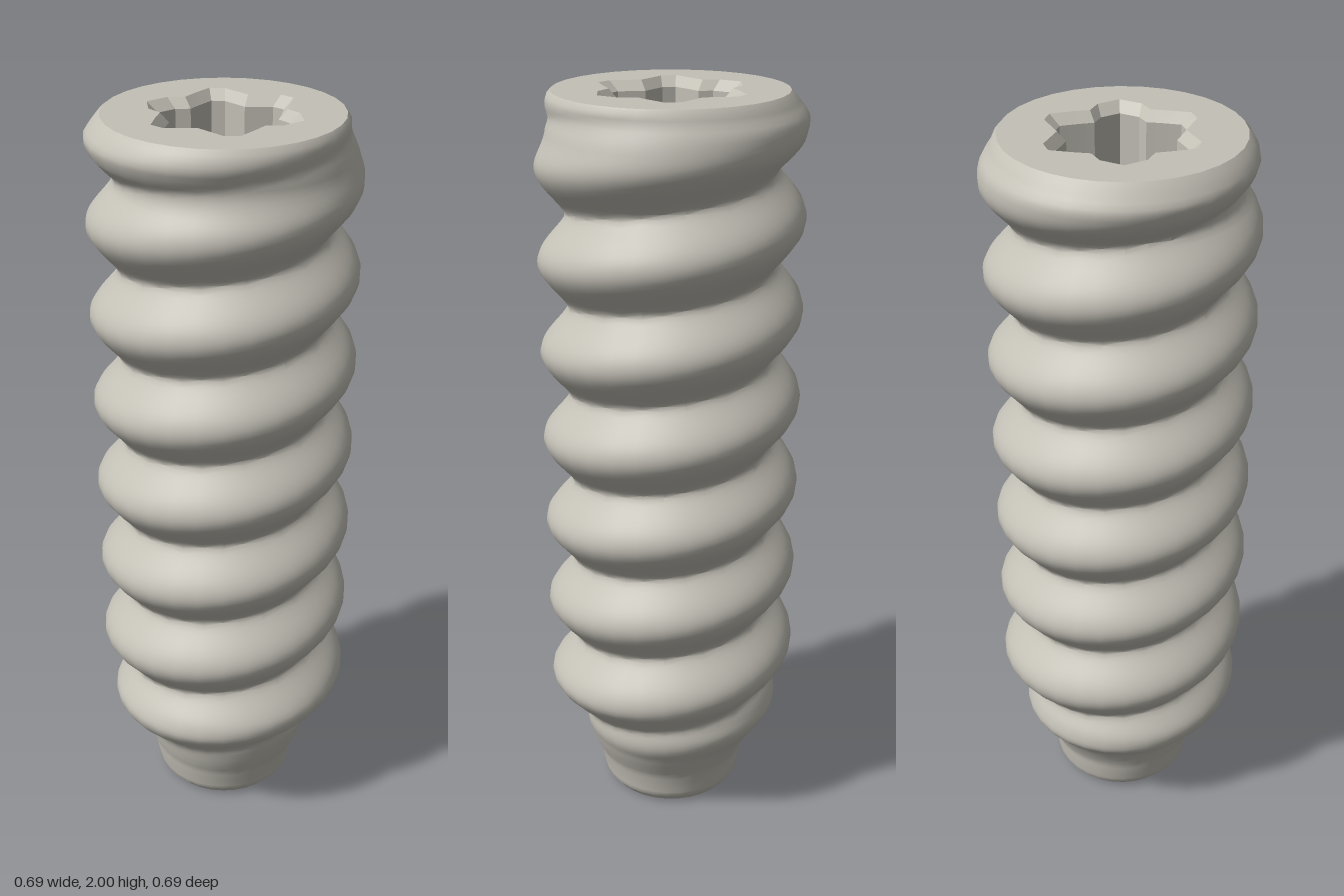
import * as THREE from 'three';
import { toCreasedNormals } from 'three/addons/utils/BufferGeometryUtils.js';

const SIDES = 32, PITCH = 0.2433, CREST_Y = 1.83;
const FLOOR_Y = 1.7;

// Linear interpolation through [y, radius] pairs
function sample(pairs, y) {
  for (let i = 1; i < pairs.length; i++) {
    const [y0, r0] = pairs[i - 1], [y1, r1] = pairs[i];
    if (y <= y1) return r0 + (r1 - r0) * (y - y0) / (y1 - y0);
  }
  return pairs[pairs.length - 1][1];
}

// Skin a stack of closed rings; rings rise for outer walls, descend for inner walls
function loft(rings, crease) {
  const n = rings[0].length, pos = [], index = [];
  rings.forEach(ring => ring.forEach(p => pos.push(...p)));
  for (let i = 0; i < rings.length - 1; i++) {
    for (let j = 0; j < n; j++) {
      const k = (j + 1) % n;
      const a = i * n + j, b = i * n + k, c = b + n, d = a + n;
      index.push(a, b, c, a, c, d);
    }
  }
  const geo = new THREE.BufferGeometry();
  geo.setAttribute('position', new THREE.Float32BufferAttribute(pos, 3));
  geo.setIndex(index);
  return toCreasedNormals(geo, crease);
}

// Ring around the y axis with a radius that may vary by angle
function ring(y, radius) {
  return Array.from({ length: SIDES }, (_, j) => {
    const a = j / SIDES * Math.PI * 2;
    const r = typeof radius === 'function' ? radius(a, y) : radius;
    return [r * Math.cos(a), y, -r * Math.sin(a)];
  });
}

// Tapered core, and the outer limit of the thread
const CORE = [[0, 0.175], [0.025, 0.195], [0.1, 0.205], [0.2, 0.238], [0.3, 0.265],
  [0.38, 0.27], [1.84, 0.27], [1.91, 0.305], [1.985, 0.307], [2, 0.295]];
const LIMIT = [[0, 0.175], [0.025, 0.195], [0.1, 0.21], [0.18, 0.245], [0.26, 0.308],
  [0.32, 0.335], [0.37, 0.345], [1.945, 0.345], [1.985, 0.315], [2, 0.3]];

// Single-start right-hand thread with rounded crests and tight valleys
function threadRadius(a, y) {
  const t = (y - CREST_Y) / PITCH - a / (Math.PI * 2);
  const d = t - Math.round(t);
  const ridge = Math.pow(Math.max(0, Math.cos(Math.PI * d)), 1.35);
  const core = sample(CORE, y), limit = sample(LIMIT, y);
  return core + (limit - core) * ridge;
}

// Six-lobed socket outline
function starPoints(scale) {
  const pts = [];
  const upper = [[0.205, 0], [0.175, 0.054], [0.135, 0.073], [0.127, 0.115],
    [0.113, 0.171], [0.075, 0.183], [0, 0.152]];
  upper.forEach(p => pts.push(p));
  for (let i = 5; i >= 0; i--) pts.push([-upper[i][0], upper[i][1]]);
  for (let i = 1; i <= 6; i++) pts.push([-upper[i][0], -upper[i][1]]);
  for (let i = 5; i >= 1; i--) pts.push([upper[i][0], -upper[i][1]]);
  return pts.map(([x, y]) => new THREE.Vector2(x * scale, y * scale));
}

const circlePoints = (radius) => ring(0, radius).map(p => new THREE.Vector2(p[0], -p[2]));

// Flat upward-facing plate with one hole
function plate(outer, hole, y) {
  const shape = new THREE.Shape(outer);
  shape.holes.push(new THREE.Path(hole));
  return new THREE.ShapeGeometry(shape).rotateX(-Math.PI / 2).translate(0, y, 0);
}

export function createModel() {
  const model = new THREE.Group();
  model.name = 'threadedScrew';
  const metal = new THREE.MeshStandardMaterial({ color: 0xc3c0b6 });
  metal.name = 'warm grey metal';
  const add = (name, geometry) => {
    const mesh = new THREE.Mesh(geometry, metal);
    mesh.name = name;
    model.add(mesh);
  };

  // Threaded outer body
  const rows = 160, body = [];
  for (let i = 0; i <= rows; i++) body.push(ring(2 * i / rows, threadRadius));
  add('threadedBody', loft(body, 0.75));

  // Top face around the socket
  const rim = body[rows].map(p => new THREE.Vector2(p[0], -p[2]));
  add('topFace', plate(rim, starPoints(1), 2));

  // Socket: chamfered lip, then straight walls
  const starRing = (scale, y) => starPoints(scale).map(p => [p.x, y, -p.y]);
  add('socketWall', loft([starRing(1, 2), starRing(0.86, 1.975), starRing(0.86, FLOOR_Y)], 0.3));
  add('socketFloor', plate(starPoints(0.86), circlePoints(0.092), FLOOR_Y));

  // Through bore with a countersink at each end, closing with the bottom face
  add('bore', loft([
    ring(FLOOR_Y, 0.092), ring(FLOOR_Y - 0.025, 0.07),
    ring(0.025, 0.07), ring(0, 0.092), ring(0, 0.175),
  ], 0.5));

  return model;
}
